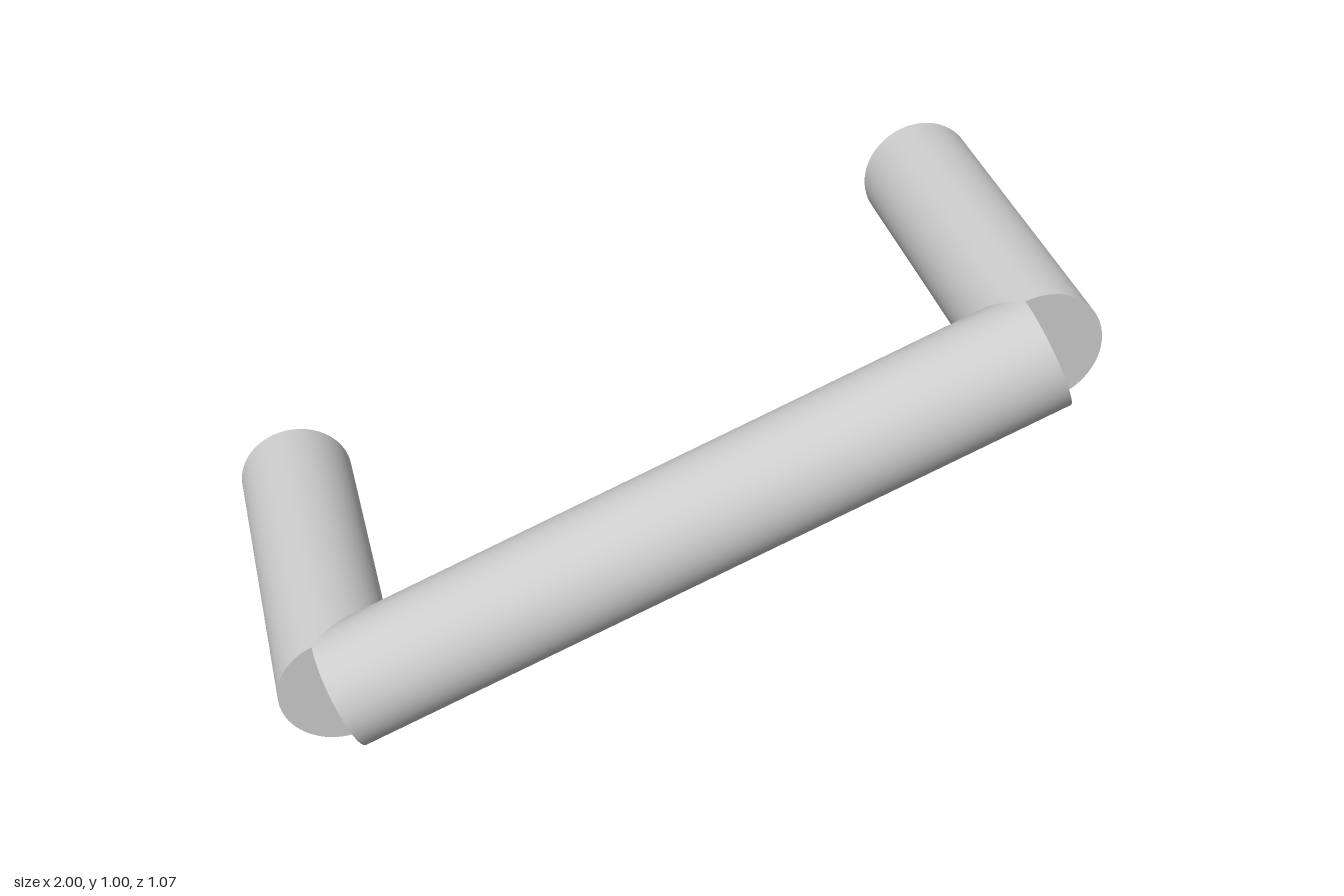
import * as THREE from 'three';
import { toCreasedNormals } from 'three/addons/utils/BufferGeometryUtils.js';

const R = 0.147;          // radius of the rods
const HOLE = 0.06;        // radius of the mounting holes
const HOLE_DEPTH = 0.4;
const FRONT = 0.388;      // z of the grip axis and of the leg fronts
const BACK = -0.535;
const X = 0.853, LOW = 0.147, HIGH = 0.853;

export function createModel() {
  const model = new THREE.Group();
  model.name = 'pullHandle';
  const material = new THREE.MeshStandardMaterial({ color: 0xcccccc });

  // Leg: solid rod with a blind mounting hole in its back end
  const length = FRONT - BACK;
  const profile = [
    [0, 0], [R, 0], [R, length], [HOLE, length],
    [HOLE, length - HOLE_DEPTH], [0, length - HOLE_DEPTH],
  ].map(([r, y]) => new THREE.Vector2(r, y));
  const legGeometry = toCreasedNormals(new THREE.LatheGeometry(profile, 64), 0.6);
  legGeometry.rotateX(-Math.PI / 2);

  const addLeg = (name, x, y) => {
    const leg = new THREE.Mesh(legGeometry, material);
    leg.name = name;
    leg.position.set(x, y, FRONT);
    model.add(leg);
  };
  addLeg('upperLeg', X, HIGH);
  addLeg('lowerLeg', -X, LOW);

  // Sloping grip between the leg axes
  const dx = 2 * X, dy = HIGH - LOW;
  const grip = new THREE.Mesh(new THREE.CylinderGeometry(R, R, Math.hypot(dx, dy), 64), material);
  grip.name = 'grip';
  grip.position.set(0, (LOW + HIGH) / 2, FRONT);
  grip.rotation.z = Math.atan2(dy, dx) - Math.PI / 2;
  model.add(grip);

  return model;
}
